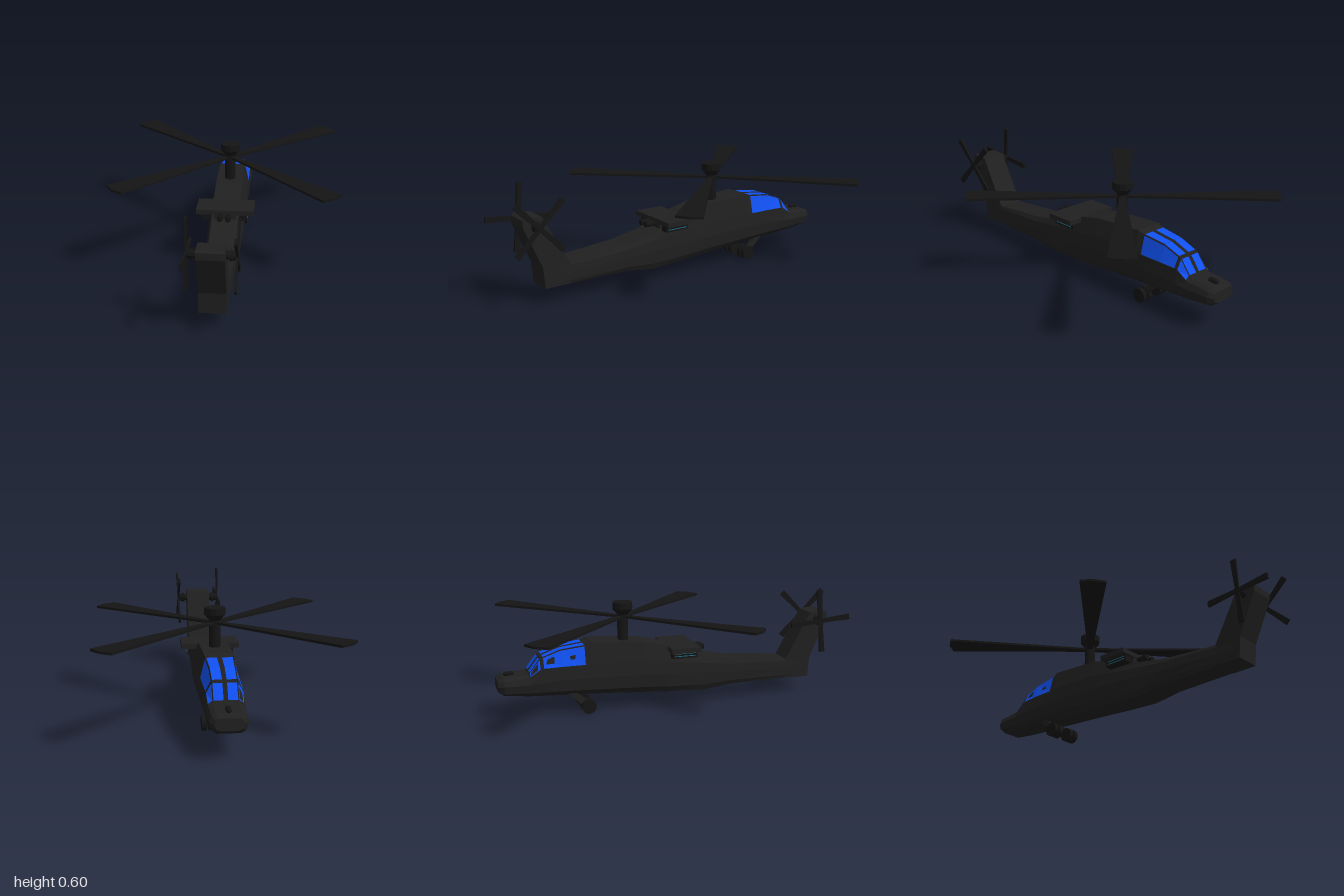
import * as THREE from 'three';

const paint = (color, side = THREE.FrontSide) =>
  new THREE.MeshStandardMaterial({ color, flatShading: true, side });
const black = paint(0x202020);
const dark = paint(0x141414);
const glass = paint(0x1050f0, THREE.DoubleSide);
const teal = paint(0x1f6f86);

function add(parent, name, geometry, material, x = 0, y = 0, z = 0) {
  const mesh = new THREE.Mesh(geometry, material);
  mesh.name = name;
  mesh.position.set(x, y, z);
  parent.add(mesh);
  return mesh;
}

function triangles(points) {
  const g = new THREE.BufferGeometry().setFromPoints(points);
  g.computeVertexNormals();
  return g;
}

// Hull stations: z, then half-width and height of roof, shoulder, waist, chine, belly
const stations = [
  [-0.685, 0.05, 0.215, 0.062, 0.205, 0.070, 0.185, 0.062, 0.165, 0.040, 0.155],
  [-0.655, 0.06, 0.228, 0.080, 0.216, 0.090, 0.190, 0.080, 0.150, 0.055, 0.135],
  [-0.525, 0.06, 0.237, 0.083, 0.225, 0.095, 0.190, 0.085, 0.145, 0.055, 0.120],
  [-0.460, 0.06, 0.320, 0.087, 0.268, 0.096, 0.195, 0.087, 0.143, 0.058, 0.117],
  [-0.355, 0.062, 0.358, 0.091, 0.270, 0.097, 0.200, 0.088, 0.140, 0.060, 0.112],
  [-0.220, 0.068, 0.374, 0.093, 0.270, 0.098, 0.200, 0.088, 0.135, 0.062, 0.106],
  [-0.190, 0.074, 0.388, 0.093, 0.280, 0.098, 0.200, 0.088, 0.133, 0.062, 0.104],
  [0.100, 0.074, 0.368, 0.093, 0.270, 0.097, 0.190, 0.088, 0.120, 0.065, 0.086],
  [0.240, 0.072, 0.335, 0.090, 0.250, 0.095, 0.185, 0.088, 0.110, 0.068, 0.076],
  [0.440, 0.070, 0.262, 0.085, 0.225, 0.089, 0.170, 0.084, 0.100, 0.068, 0.065],
  [0.600, 0.068, 0.230, 0.080, 0.205, 0.083, 0.160, 0.079, 0.110, 0.066, 0.085],
  [0.940, 0.064, 0.200, 0.069, 0.185, 0.071, 0.145, 0.070, 0.105, 0.065, 0.088],
  [1.080, 0.062, 0.200, 0.067, 0.185, 0.068, 0.145, 0.067, 0.100, 0.064, 0.087],
];

const ringPoint = (i, j, side = 1) => {
  const s = stations[i];
  return new THREE.Vector3(side * s[1 + 2 * j], s[2 + 2 * j], s[0]);
};

function hullGeometry() {
  const rings = stations.map((_, i) => [
    ...[0, 1, 2, 3, 4].map((j) => ringPoint(i, j)),
    ...[4, 3, 2, 1, 0].map((j) => ringPoint(i, j, -1)),
  ]);
  const out = [];
  for (let i = 0; i < rings.length - 1; i++) {
    for (let j = 0; j < 10; j++) {
      const k = (j + 1) % 10;
      const [a, b, c, d] = [rings[i][j], rings[i][k], rings[i + 1][k], rings[i + 1][j]];
      out.push(a, d, c, a, c, b);
    }
  }
  const nose = rings[0], tail = rings[rings.length - 1];
  for (let j = 1; j < 9; j++) {
    out.push(nose[0], nose[j], nose[j + 1], tail[0], tail[j + 1], tail[j]);
  }
  return triangles(out);
}

// Glass pane lying just proud of the quad a-b-c-d, trimmed by u and v margins
function pane(a, b, c, d, u0, u1, v0, v1) {
  const at = (u, v) => a.clone().lerp(b, u).lerp(d.clone().lerp(c, u), v);
  const q = [at(u0, v0), at(u1, v0), at(u1, v1), at(u0, v1)];
  const n = q[2].clone().sub(q[0]).cross(q[3].clone().sub(q[1])).normalize();
  if (n.dot(q[0].clone().sub(new THREE.Vector3(0, 0.15, q[0].z + 0.05))) < 0) n.negate();
  q.forEach((p) => p.addScaledVector(n, 0.003));
  return triangles([q[0], q[1], q[2], q[0], q[2], q[3]]);
}

function buildCanopy(parent) {
  const canopy = new THREE.Group();
  canopy.name = 'canopy';
  parent.add(canopy);
  for (const side of [-1, 1]) {
    for (const i of [2, 3, 4]) {
      const v0 = i === 4 ? 0 : 0.12, v1 = i === 3 ? 1 : 0.94;
      const roof = [ringPoint(i, 0, -side), ringPoint(i, 0, side), ringPoint(i + 1, 0, side), ringPoint(i + 1, 0, -side)];
      add(canopy, i === 2 ? 'windshield' : 'roofGlass', pane(...roof, 0.59, 0.98, v0, v1), glass);
      const wall = [ringPoint(i, 0, side), ringPoint(i, 1, side), ringPoint(i + 1, 1, side), ringPoint(i + 1, 0, side)];
      add(canopy, 'sideGlass', pane(...wall, 0.04, 0.96, v0, v1), glass);
    }
  }
}

function buildMainRotor(parent) {
  const rotor = new THREE.Group();
  rotor.name = 'mainRotor';
  parent.add(rotor);
  add(rotor, 'mast', new THREE.CylinderGeometry(0.03, 0.03, 0.17, 12), dark, 0, 0.435, 0);
  add(rotor, 'hubCone', new THREE.CylinderGeometry(0.055, 0.03, 0.03, 12), dark, 0, 0.53, 0);
  add(rotor, 'hubCap', new THREE.CylinderGeometry(0.055, 0.055, 0.035, 12), dark, 0, 0.5625, 0);
  const outline = [[-0.014, 0.02], [0.014, 0.02], [0.02, 0.11], [0.068, 0.796], [0, 0.811], [-0.068, 0.796], [-0.02, 0.11]];
  const shape = new THREE.Shape(outline.map(([x, y]) => new THREE.Vector2(x, y)));
  const bladeGeo = new THREE.ExtrudeGeometry(shape, { depth: 0.012, bevelEnabled: false });
  bladeGeo.translate(0, 0, -0.006).rotateX(Math.PI / 2);
  const blades = new THREE.Group();
  blades.name = 'mainBlades';
  blades.position.y = 0.501;
  blades.rotation.set(0.011, 0, -0.007);
  rotor.add(blades);
  for (let k = 0; k < 4; k++) {
    add(blades, 'mainBlade', bladeGeo, dark).rotation.y = Math.PI / 4 + (k * Math.PI) / 2;
  }
}

function buildTail(parent) {
  // Swept fin profile in z and y, extruded across the boom
  const profile = [[0.94, 0.088], [1.08, 0.087], [1.09, 0.2], [1.19, 0.42], [1.19, 0.455], [1.175, 0.465], [1.085, 0.46], [1.055, 0.405], [0.94, 0.2]];
  const shape = new THREE.Shape(profile.map(([z, y]) => new THREE.Vector2(-z, y)));
  const fin = new THREE.ExtrudeGeometry(shape, { depth: 0.136, bevelEnabled: false });
  fin.translate(0, 0, -0.068).rotateY(Math.PI / 2);
  add(parent, 'tailFin', fin, black);
  const axle = new THREE.CylinderGeometry(0.02, 0.02, 0.25, 10).rotateZ(Math.PI / 2);
  add(parent, 'tailAxle', axle, dark, 0, 0.42, 1.125);
  const bladeGeo = new THREE.CylinderGeometry(0.018, 0.012, 0.18, 4, 1, false, Math.PI / 4);
  bladeGeo.scale(0.5, 1, 1.25).translate(0, 0.09, 0);
  for (const side of [-1, 1]) {
    const rotor = new THREE.Group();
    rotor.name = side < 0 ? 'rightTailRotor' : 'leftTailRotor';
    rotor.position.set(side * 0.12, 0.42, 1.125);
    rotor.rotation.x = side < 0 ? -0.08 : Math.PI / 4;
    parent.add(rotor);
    const hub = new THREE.CylinderGeometry(0.018, 0.03, 0.04, 10).rotateZ(-side * Math.PI / 2);
    add(rotor, 'tailHub', hub, dark, -side * 0.015, 0, 0);
    for (let k = 0; k < 4; k++) {
      add(rotor, 'tailBlade', bladeGeo, dark).rotation.x = (k * Math.PI) / 2;
    }
  }
}

function buildLandingGear(parent) {
  const wheel = new THREE.CylinderGeometry(0.039, 0.039, 0.024, 16).rotateZ(Math.PI / 2);
  const axle = new THREE.CylinderGeometry(0.01, 0.01, 0.05, 8).rotateZ(Math.PI / 2);
  const strut = new THREE.BoxGeometry(0.02, 0.13, 0.032);
  for (const side of [-1, 1]) {
    const gear = new THREE.Group();
    gear.name = side < 0 ? 'rightGear' : 'leftGear';
    gear.position.set(side * 0.059, 0.039, -0.213);
    parent.add(gear);
    for (const dx of [-0.018, 0.018]) add(gear, 'wheel', wheel, dark, dx, 0, 0);
    add(gear, 'wheelAxle', axle, dark);
    add(gear, 'strut', strut, black, 0, 0.042, -0.045).rotation.x = -0.82;
  }
}

function buildWing(parent) {
  add(parent, 'stubWing', new THREE.BoxGeometry(0.31, 0.026, 0.165), black, 0, 0.32, 0.315);
  add(parent, 'wingPylon', new THREE.BoxGeometry(0.12, 0.07, 0.15), black, 0, 0.28, 0.315);
  // Launch racks with striped flanks below each wing half
  for (const side of [-1, 1]) {
    add(parent, 'wingRack', new THREE.BoxGeometry(0.045, 0.04, 0.14), dark, side * 0.1, 0.292, 0.315);
    for (const y of [0.284, 0.298]) {
      add(parent, 'rackStripe', new THREE.BoxGeometry(0.003, 0.004, 0.12), teal, side * 0.123, y, 0.315);
    }
    const pipe = new THREE.CylinderGeometry(0.016, 0.013, 0.09, 10).rotateX(Math.PI / 2);
    add(parent, 'exhaustPipe', pipe, dark, side * 0.022, 0.305, 0.41);
  }
}

export function createModel() {
  const model = new THREE.Group();
  model.name = 'helicopter';
  // The airframe is yawed slightly about the main mast
  const airframe = new THREE.Group();
  airframe.name = 'airframe';
  airframe.position.set(-0.005, 0, -0.31);
  airframe.rotation.y = 0.164;
  model.add(airframe);
  add(airframe, 'fuselage', hullGeometry(), black);
  add(airframe, 'noseSensor', new THREE.CapsuleGeometry(0.014, 0.03, 4, 8).rotateX(Math.PI / 2), dark, 0, 0.237, -0.62);
  buildCanopy(airframe);
  buildMainRotor(airframe);
  buildTail(airframe);
  buildLandingGear(airframe);
  buildWing(airframe);
  return model;
}
